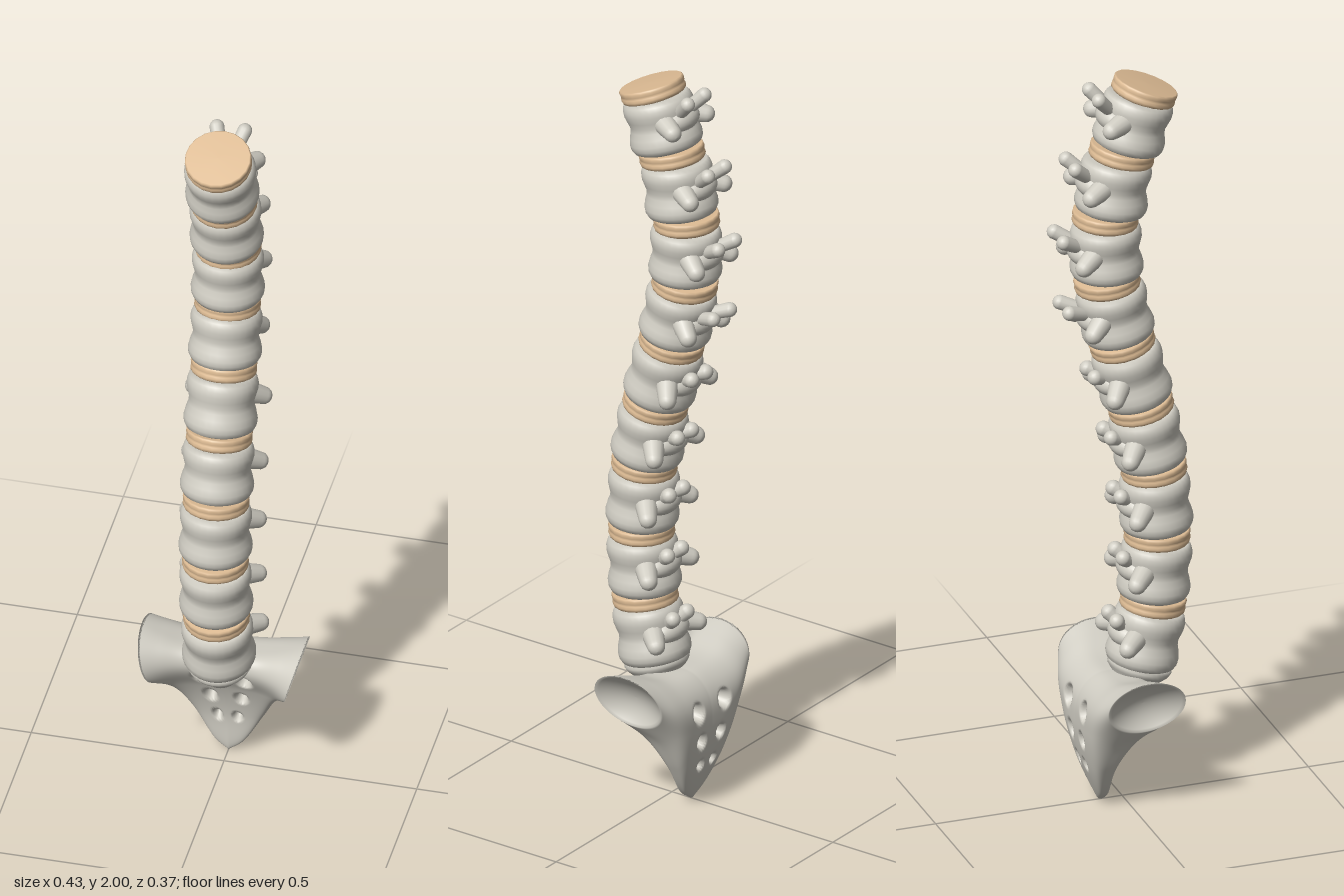
import * as THREE from 'three';

const bone = new THREE.MeshStandardMaterial({ color: 0xd0cdc3 });
bone.name = 'bone';
const cartilage = new THREE.MeshStandardMaterial({ color: 0xdfbd95 });
cartilage.name = 'cartilage';

// Disc centres from top to bottom: [y, z, forward tilt in degrees]; the last is the sacral seat.
const spine = [
  [1.955, 0.06, 20], [1.79, 0, 13], [1.617, -0.045, 5], [1.44, -0.04, -8], [1.265, 0, -15],
  [1.08, 0.05, -14], [0.9, 0.085, -7], [0.715, 0.094, 1], [0.53, 0.083, 9], [0.345, 0.045, 16],
];

const lathe = (pts, n) => new THREE.LatheGeometry(pts.map(([r, y]) => new THREE.Vector2(r, y)), n);

function add(parent, name, geometry, material) {
  const mesh = new THREE.Mesh(geometry, material);
  mesh.name = name;
  parent.add(mesh);
  return mesh;
}

// Tapered knob with a round end, running from a to b
function knob(parent, name, a, b, r0, r1) {
  const from = new THREE.Vector3(...a), dir = new THREE.Vector3(...b).sub(from);
  const len = dir.length();
  const pts = [[r0, 0], [r0 * 0.6 + r1 * 0.4, len * 0.5]];
  for (let i = 0; i <= 6; i++) {
    const t = i / 6 * Math.PI / 2;
    pts.push([i === 6 ? 0 : r1 * Math.cos(t), len + r1 * Math.sin(t)]);
  }
  const mesh = add(parent, name, lathe(pts, 14), bone);
  mesh.position.copy(from);
  mesh.quaternion.setFromUnitVectors(new THREE.Vector3(0, 1, 0), dir.normalize());
}

const bodyShape = lathe([
  [0, -0.072], [0.078, -0.072], [0.087, -0.067], [0.093, -0.055], [0.094, -0.042], [0.09, -0.025],
  [0.084, -0.008], [0.083, 0.005], [0.087, 0.02], [0.091, 0.036], [0.091, 0.05], [0.087, 0.062],
  [0.079, 0.072], [0, 0.072],
], 32);

const discShape = lathe([
  [0, -0.02], [0.078, -0.02], [0.083, -0.016], [0.085, -0.01], [0.084, -0.003], [0.0825, 0],
  [0.084, 0.003], [0.085, 0.01], [0.084, 0.015], [0.081, 0.0175], [0, 0.0185],
], 20);

function vertebra(index) {
  const g = new THREE.Group();
  g.name = 'vertebra' + (index + 1);
  const [y0, z0, t0] = spine[index], [y1, z1, t1] = spine[index + 1];
  g.position.set(0, (y0 + y1) / 2, (z0 + z1) / 2);
  g.rotation.x = THREE.MathUtils.degToRad((t0 + t1) / 2);

  const body = add(g, 'body', bodyShape, bone);
  body.scale.y = Math.hypot(y0 - y1, z0 - z1) / 0.18;
  const arch = add(g, 'arch', new THREE.SphereGeometry(1, 24, 16), bone);
  arch.scale.set(0.065, 0.036, 0.045);
  arch.position.set(0, 0.005, -0.056);

  // Upper vertebrae have long forked prongs, lower ones wider side knobs
  const upper = index < 4;
  for (const s of [-1, 1]) {
    knob(g, 'rearProng', [s * 0.012, 0.015, -0.06],
      upper ? [s * 0.036, 0.055, -0.125] : [s * 0.03, 0.043, -0.1], 0.016, upper ? 0.019 : 0.02);
    knob(g, 'sideKnob', [s * 0.045, 0.015, -0.04],
      upper ? [s * 0.072, -0.008, -0.085] : [s * 0.09, -0.008, -0.08], 0.03, 0.023);
  }
  return g;
}

// Smooth curve through value samples
function curve(times, values) {
  const c = new THREE.CubicInterpolant(times, values, 1);
  return (t) => c.evaluate(t)[0];
}

const bottomY = curve([0, 0.2, 0.5, 0.75, 1], [0, 0.03, 0.12, 0.2, 0.25]);
const topY = curve([0, 0.5, 0.8, 1], [0.355, 0.362, 0.383, 0.402]);
const midZ = curve([0, 0.12, 0.23, 0.32, 0.4], [-0.055, -0.074, -0.065, -0.034, -0.005]);
const halfDepth = curve([0, 0.12, 0.23, 0.32, 0.4], [0.02, 0.037, 0.062, 0.092, 0.08]);
const openings = [[0.055, 0.275, 0.018], [0.04, 0.19, 0.0145], [0.026, 0.115, 0.011]];

// Lofted across the width: upright sections, with a cupped socket at each end
function sacrumGeometry() {
  const stations = [], rings = 144, cup = 12, across = 100;
  for (let i = 0; i < cup; i++) stations.push([-1, i / cup]);
  for (let i = 0; i <= across; i++) stations.push([-1 + 2 * i / across, 1]);
  for (let i = cup - 1; i >= 0; i--) stations.push([1, i / cup]);

  const pos = [], index = [];
  stations.forEach(([s, k], i) => {
    const m = Math.abs(s), side = Math.sign(s), ear = m ** 4;
    const lo = bottomY(m), hi = topY(m);
    for (let j = 0; j < rings; j++) {
      const a = j / rings * Math.PI * 2, c = Math.cos(a);
      const y = (lo + hi) / 2 + (hi - lo) / 2 * Math.sin(a) * k;
      const power = THREE.MathUtils.lerp(0.5, 1, ear);
      const shape = Math.sign(c) * Math.abs(c) ** power * k;
      const x = s * 0.19 + side * (ear * (y - 0.325) * 0.3 - 0.035 * (1 - k * k));
      let depth = THREE.MathUtils.lerp(halfDepth(y), 0.102, ear);
      for (const [hx, hy, r] of openings) {
        const d = Math.hypot(Math.abs(x) - hx, (y - hy) * 0.9) / r;
        depth *= 1 - 0.85 * Math.exp(-(d ** 4));
      }
      pos.push(x, y, THREE.MathUtils.lerp(midZ(y), 0, ear) + depth * shape);
      if (i < stations.length - 1) {
        const n = (j + 1) % rings, p = i * rings, q = p + rings;
        index.push(p + j, q + j, p + n, q + j, q + n, p + n);
      }
    }
  });
  const g = new THREE.BufferGeometry();
  g.setAttribute('position', new THREE.Float32BufferAttribute(pos, 3));
  g.setIndex(index);
  g.computeVertexNormals();
  return g;
}

export function createModel() {
  const model = new THREE.Group();
  model.name = 'spine';

  for (let i = 0; i < spine.length - 1; i++) {
    model.add(vertebra(i));
    const [y, z, tilt] = spine[i];
    const disc = add(model, 'disc' + (i + 1), discShape, cartilage);
    disc.position.set(0, y, z);
    disc.rotation.x = THREE.MathUtils.degToRad(tilt);
  }

  add(model, 'sacrum', sacrumGeometry(), bone);

  // Raised seat under the lowest vertebra
  const seat = add(model, 'sacrumSeat', lathe([
    [0.045, -0.06], [0.06, -0.03], [0.08, -0.008], [0.085, 0.004], [0.08, 0.014], [0, 0.016],
  ], 32), bone);
  seat.position.set(0, 0.356, 0.045);
  seat.rotation.x = THREE.MathUtils.degToRad(16);
  return model;
}
